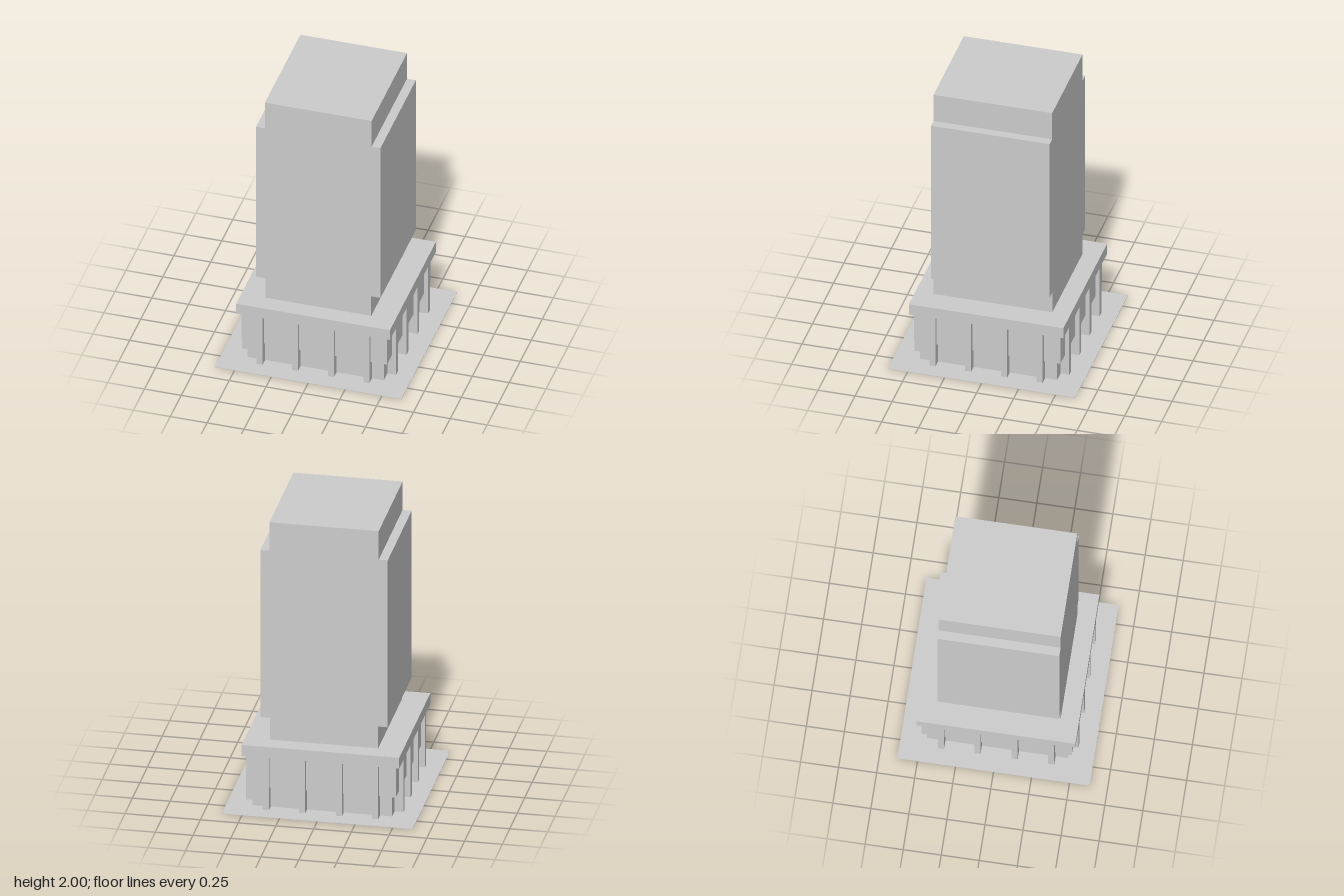
import * as THREE from 'three';

export function createModel() {
  const model = new THREE.Group();
  const material = new THREE.MeshStandardMaterial({ color: 0xcccccc, flatShading: true });

  // Box standing between two heights
  function block(name, width, depth, y0, y1, x = 0, z = 0, parent = model) {
    const mesh = new THREE.Mesh(new THREE.BoxGeometry(width, y1 - y0, depth), material);
    mesh.position.set(x, (y0 + y1) / 2, z);
    mesh.name = name;
    parent.add(mesh);
    return mesh;
  }

  // Site and stepped podium
  block('groundPlate', 1.264, 1.264, 0, 0.003);
  block('groundFloor', 0.926, 0.926, 0.003, 0.154);
  block('podiumUpperFloor', 0.988, 0.988, 0.154, 0.374);
  block('podiumRoof', 1.044, 1.044, 0.374, 0.452);

  // Four pillars on each side of the podium, flush with the roof edge
  for (let side = 0; side < 4; side++) {
    const row = new THREE.Group();
    row.name = 'pillarRow';
    row.rotation.y = side * Math.PI / 2;
    for (const x of [-0.362, -0.122, 0.122, 0.362]) {
      block('pillar', 0.041, 0.059, 0.003, 0.374, x, 0.4925, row);
    }
    model.add(row);
  }

  // Tower: one outline with a narrow neck and crown, extruded front to back
  const half = [[0.359, 0.452], [0.359, 0.607], [0.422, 0.607], [0.422, 1.797], [0.362, 1.797], [0.362, 2]];
  const outline = [...half, ...half.map(([x, y]) => [-x, y]).reverse()];
  const shape = new THREE.Shape(outline.map(([x, y]) => new THREE.Vector2(x, y)));
  const geometry = new THREE.ExtrudeGeometry(shape, { depth: 0.802, bevelEnabled: false });
  geometry.translate(0, 0, -0.401);
  const tower = new THREE.Mesh(geometry, material);
  tower.name = 'tower';
  model.add(tower);

  return model;
}
